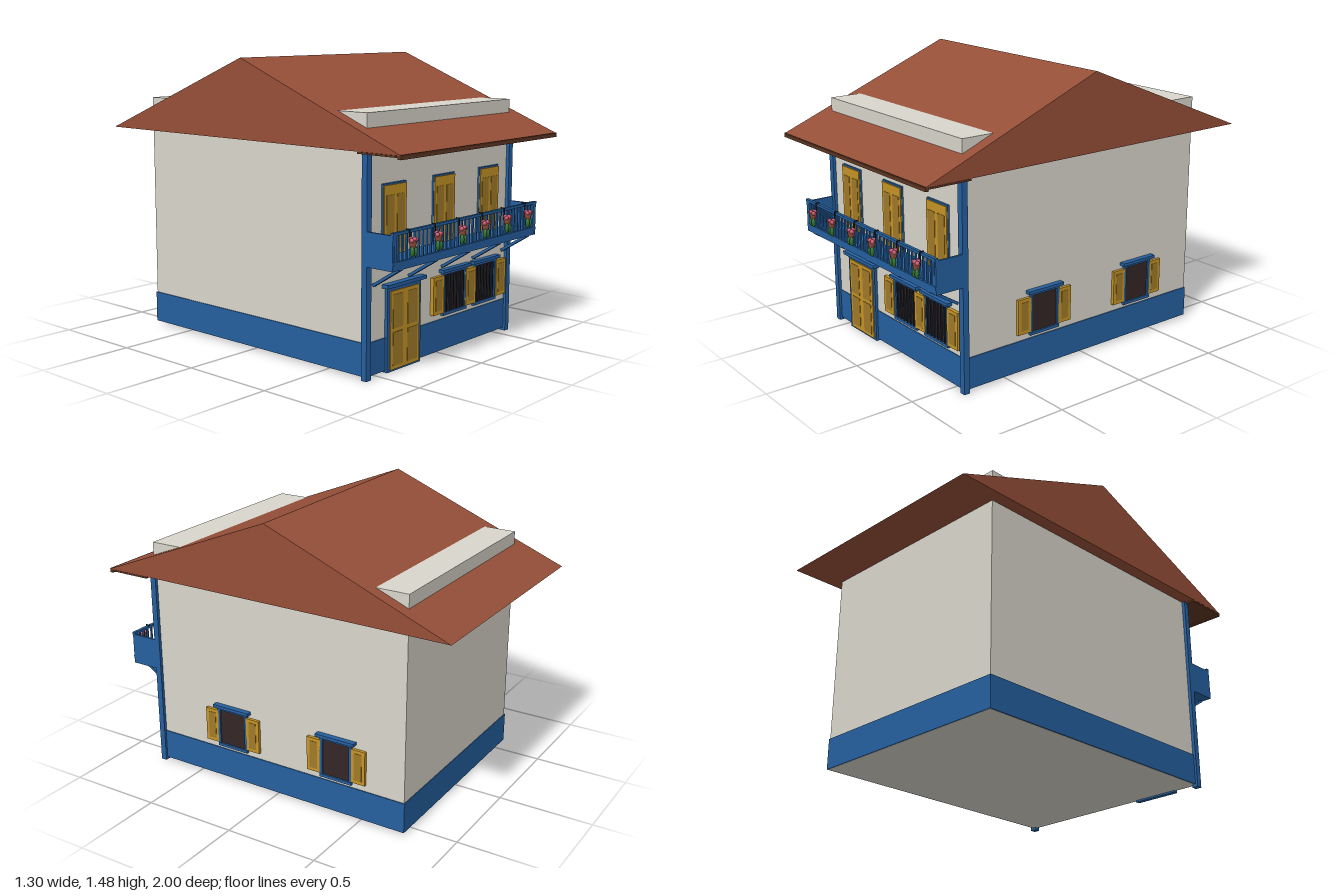
import * as THREE from 'three';

const mat = (name, color, side = THREE.FrontSide) => {
  const m = new THREE.MeshStandardMaterial({ color, side });
  m.name = name;
  return m;
};

export function createModel() {
  const wall = mat('plaster', 0xd9d6cc);
  const blue = mat('blue paint', 0x2560a0);
  const tile = mat('roof tile', 0x964f38);
  const brown = mat('eaves wood', 0x5f3622);
  const gold = mat('ochre wood', 0xc69426);
  const panel = mat('shaded ochre', 0xa07a28);
  const dark = mat('dark opening', 0x342626);
  const iron = mat('iron bars', 0x1d222c);
  const green = mat('leaves', 0x2f7034);
  const pink = mat('petals', 0xc75670);

  const house = new THREE.Group();
  house.name = 'house';

  const add = (parent, name, geo, material, x = 0, y = 0, z = 0) => {
    const m = new THREE.Mesh(geo, material);
    m.name = name;
    m.position.set(x, y, z);
    parent.add(m);
    return m;
  };
  // Box given by its limits on each axis
  const box = (parent, name, material, x0, x1, y0, y1, z0, z1) =>
    add(parent, name, new THREE.BoxGeometry(x1 - x0, y1 - y0, z1 - z0), material,
      (x0 + x1) / 2, (y0 + y1) / 2, (z0 + z1) / 2);
  const group = (parent, name, x = 0, y = 0, z = 0) => {
    const g = new THREE.Group();
    g.name = name;
    g.position.set(x, y, z);
    parent.add(g);
    return g;
  };

  // Body, plinth and corner posts
  box(house, 'walls', wall, -0.583, 0.583, 0.014, 1.25, -0.75, 0.75);
  box(house, 'plinth', blue, -0.588, 0.588, 0.015, 0.177, -0.754, 0.754);
  for (const s of [-1, 1]) {
    add(house, 'cornerPost', new THREE.BoxGeometry(0.034, 1.08, 0.032), blue, s * 0.583, 0.54, 0.751);
  }

  // Solid gabled roof
  const gable = new THREE.Shape([
    new THREE.Vector2(-1, 1.08), new THREE.Vector2(1, 1.08), new THREE.Vector2(0, 1.48),
  ]);
  const roofGeo = new THREE.ExtrudeGeometry(gable, { depth: 1.3, bevelEnabled: false });
  roofGeo.translate(0, 0, -0.65).rotateY(-Math.PI / 2);
  add(house, 'roof', roofGeo, tile);

  // Front eaves
  box(house, 'eavesBoard', brown, -0.65, 0.65, 1.062, 1.084, 0.98, 0.998);
  box(house, 'soffit', brown, -0.65, 0.65, 1.07, 1.079, 0.75, 0.98);

  // Shutter or door leaf with recessed-looking panels
  const leaf = (parent, name, x, w, y0, y1, z, depth, rows = 1) => {
    const g = group(parent, name, x, 0, z);
    box(g, 'leafBoard', gold, -w / 2, w / 2, y0, y1, 0, depth);
    const margin = 0.018, h = (y1 - y0 - margin) / rows;
    for (let i = 0; i < rows; i++) {
      const b = y0 + margin + i * h;
      box(g, 'leafPanel', panel, -w / 2 + margin, w / 2 - margin, b, b + h - margin, depth, depth + 0.002);
    }
    return g;
  };

  // Framed window facing local +z
  const windowFrame = (parent, w, bars) => {
    const g = group(parent, 'window');
    const h = w / 2;
    box(g, 'opening', dark, -h + 0.01, h - 0.01, 0.208, 0.412, 0, 0.008);
    for (const s of [-1, 1]) {
      add(g, 'frameSide', new THREE.BoxGeometry(0.014, 0.22, 0.016), blue, s * (h - 0.007), 0.308, 0.008);
    }
    box(g, 'sill', blue, -h, h, 0.196, 0.211, 0, 0.018);
    box(g, 'frameTop', blue, -h, h, 0.405, 0.42, 0, 0.018);
    box(g, 'lintel', blue, -h - 0.019, h + 0.019, 0.418, 0.434, 0, 0.03);
    for (let i = 0; i < bars; i++) {
      const x = -h + (i + 1) * w / (bars + 1);
      box(g, 'bar', iron, x - 0.004, x + 0.004, 0.21, 0.406, 0.008, 0.016);
    }
    return g;
  };

  // Ground-floor front windows with shared middle shutter
  for (const x of [0.1, 0.367]) windowFrame(house, 0.2, 6).position.set(x, 0, 0.75);
  for (const x of [-0.044, 0.234, 0.51]) leaf(house, 'frontShutter', x, 0.088, 0.212, 0.404, 0.75, 0.02);

  // Windows on the left side wall
  for (const z of [0.268, -0.367]) {
    const g = windowFrame(house, 0.184, 0);
    g.position.set(0.583, 0, z);
    g.rotation.y = Math.PI / 2;
    for (const s of [-1, 1]) leaf(g, 'sideShutter', s * 0.129, 0.08, 0.214, 0.398, 0, 0.016);
  }

  // Entrance door
  const door = group(house, 'entranceDoor', -0.316, 0, 0.75);
  box(door, 'doorFrame', blue, -0.129, 0.129, 0.005, 0.412, -0.01, 0.016);
  box(door, 'doorLintel', blue, -0.15, 0.15, 0.42, 0.438, 0, 0.036);
  box(door, 'lintelNeck', blue, -0.129, 0.129, 0.41, 0.421, 0, 0.016);
  for (const s of [-1, 1]) leaf(door, 'doorLeaf', s * 0.0555, 0.111, 0.015, 0.4, 0.016, 0.006, 2);

  // Balcony doors
  for (const x of [-0.39, 0, 0.39]) {
    const g = group(house, 'balconyDoor', x, 0, 0.75);
    box(g, 'doorFrame', blue, -0.086, 0.086, 0.57, 0.915, 0, 0.01);
    for (const s of [-1, 1]) {
      box(g, 'doorLeaf', gold, Math.min(0, s * 0.083), Math.max(0, s * 0.083), 0.575, 0.907, 0.01, 0.016);
      add(g, 'leafPanel', new THREE.BoxGeometry(0.056, 0.26, 0.002), panel, s * 0.04, 0.73, 0.017);
    }
  }

  // Balcony: floor, solid ends, rails and balusters
  const balcony = group(house, 'balcony');
  box(balcony, 'floor', blue, -0.6, 0.6, 0.545, 0.575, 0.75, 0.917);
  box(balcony, 'lowerRail', blue, -0.6, 0.6, 0.572, 0.586, 0.905, 0.92);
  box(balcony, 'topRail', blue, -0.6, 0.6, 0.708, 0.722, 0.903, 0.92);
  for (const s of [-1, 1]) {
    add(balcony, 'endPanel', new THREE.BoxGeometry(0.012, 0.165, 0.167), blue, s * 0.594, 0.6275, 0.834);
    add(balcony, 'endPost', new THREE.BoxGeometry(0.018, 0.15, 0.016), blue, s * 0.58, 0.645, 0.911);
  }
  for (let i = -18; i <= 18; i++) {
    add(balcony, 'baluster', new THREE.BoxGeometry(0.009, 0.13, 0.009), blue, i * 0.0307, 0.647, 0.911);
  }

  // Diagonal brackets below the balcony
  for (let i = -2; i <= 2; i++) {
    const b = add(balcony, 'bracket', new THREE.BoxGeometry(0.022, 0.014, 0.185), blue, i * 0.267, 0.498, 0.835);
    b.rotation.x = -Math.atan2(0.1, 0.157);
  }

  // Hanging flower pots
  const potGeo = new THREE.CylinderGeometry(0.021, 0.013, 0.036, 12);
  const ball = new THREE.SphereGeometry(1, 10, 8);
  for (let i = 0; i < 6; i++) {
    const g = group(house, 'flowerPot', -0.486 + i * 0.1937, 0, 0.943);
    add(g, 'pot', potGeo, tile, 0, 0.661, 0);
    box(g, 'hook', iron, -0.003, 0.003, 0.665, 0.727, -0.022, -0.017);
    box(g, 'hookArm', iron, -0.003, 0.003, 0.721, 0.727, -0.04, -0.017);
    for (const [x, y, z] of [[-0.016, 0.679, 0.006], [0.016, 0.679, 0.006], [0, 0.684, 0.01], [0, 0.682, -0.01]]) {
      add(g, 'flower', ball, pink, x, y, z).scale.setScalar(0.011);
    }
    for (const s of [-1, 1]) {
      add(g, 'trailingLeaves', ball, green, s * 0.011, 0.627, 0.006).scale.set(0.011, 0.025, 0.011);
    }
  }

  return house;
}
